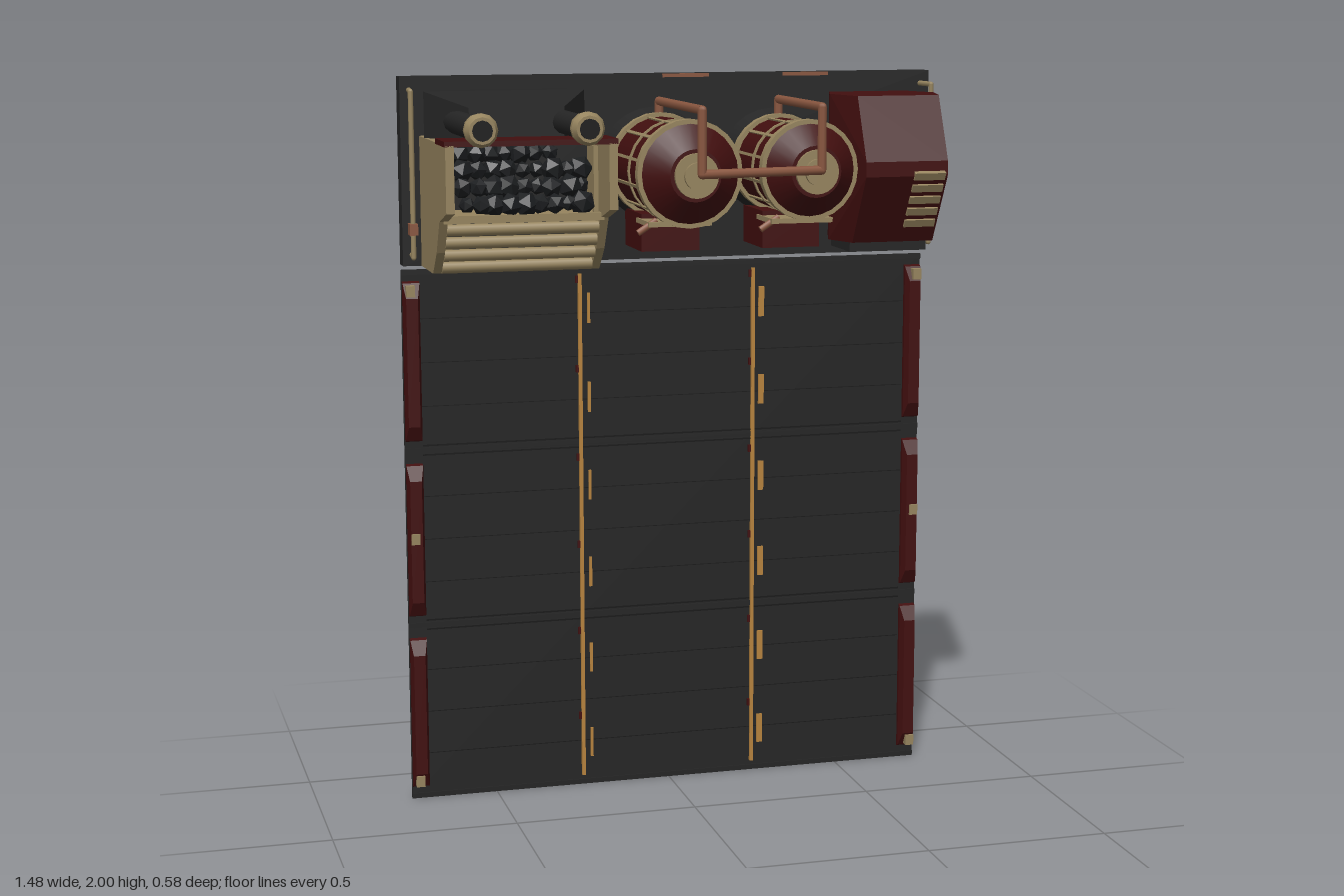
import * as THREE from 'three';
import { ConvexGeometry } from 'three/addons/geometries/ConvexGeometry.js';

const mat = (name, color) => {
  const m = new THREE.MeshStandardMaterial({ color });
  m.name = name;
  return m;
};
const V = (x, y, z) => new THREE.Vector3(x, y, z);

export function createModel() {
  const dark = mat('charcoal metal', 0x252525);
  const seam = mat('dark seam', 0x181818);
  const red = mat('oxblood paint', 0x420f0f);
  const cream = mat('dull brass', 0x97855f);
  const gold = mat('gold trim', 0xb8843e);
  const copper = mat('copper pipe', 0x8a5740);
  const coalMat = mat('coal', 0x1b1d1f);

  const root = new THREE.Group();
  root.name = 'rollerDoorWithBoilers';
  const section = (name) => {
    const g = new THREE.Group();
    g.name = name;
    root.add(g);
    return g;
  };
  const add = (g, name, geo, m) => {
    const mesh = new THREE.Mesh(geo, m);
    mesh.name = name;
    g.add(mesh);
    return mesh;
  };
  // box given by its limits
  const box = (g, name, m, x0, x1, y0, y1, z0, z1) => {
    const b = add(g, name, new THREE.BoxGeometry(x1 - x0, y1 - y0, z1 - z0), m);
    b.position.set((x0 + x1) / 2, (y0 + y1) / 2, (z0 + z1) / 2);
    return b;
  };
  // cylinder along z, from z0 (radius r0) to z1 (radius r1)
  const drum = (g, name, m, x, y, z0, z1, r0, r1 = r0, sides = 24) => {
    const c = add(g, name, new THREE.CylinderGeometry(r1, r0, z1 - z0, sides), m);
    c.rotation.x = Math.PI / 2;
    c.position.set(x, y, (z0 + z1) / 2);
    return c;
  };
  // pipe with sharp elbows
  const pipe = (g, name, m, pts, r) => {
    const path = new THREE.CurvePath();
    for (let i = 1; i < pts.length; i++) path.add(new THREE.LineCurve3(pts[i - 1], pts[i]));
    path.curves.forEach((c) => add(g, name, new THREE.TubeGeometry(c, 1, r, 8), m));
    pts.forEach((p) => add(g, name + 'Joint', new THREE.SphereGeometry(r, 8, 6), m).position.copy(p));
  };

  // Header board
  const header = section('header');
  box(header, 'headerBoard', dark, -0.74, 0.74, 1.5, 2, -0.29, -0.24);
  for (const x of [0.04, 0.38]) box(header, 'topTab', copper, x - 0.065, x + 0.065, 1.99, 2, -0.242, -0.238);

  // Door: three rows of panels
  const door = section('door');
  box(door, 'doorSheet', dark, -0.74, 0.74, 0.005, 1.485, -0.29, -0.283);
  for (const y of [0.01, 0.5, 0.99, 1.478]) {
    box(door, 'rowRail', dark, -0.74, 0.74, y - 0.007, y + 0.007, -0.285, -0.279);
    for (const s of [-1, 1]) if (y > 0.1 && y < 1.4)
      box(door, 'rowSeam', seam, -0.69, 0.69, y + s * 0.013 - 0.002, y + s * 0.013 + 0.002, -0.285, -0.281);
  }
  for (let row = 0; row < 3; row++) for (const k of [0.13, 0.25, 0.37])
    box(door, 'panelLine', seam, -0.69, 0.69, row * 0.49 + k, row * 0.49 + k + 0.002, -0.284, -0.2825);
  for (const x of [-0.25, 0.245]) {
    box(door, 'trimStrip', gold, x - 0.005, x + 0.005, 0.03, 1.46, -0.284, -0.274);
    const w = x < 0 ? 0.004 : 0.008;
    for (let i = 0; i < 6; i++) {
      const y = 0.125 + i * 0.248;
      box(door, 'hingeTab', gold, x + 0.025 - w, x + 0.025 + w, y - 0.042, y + 0.042, -0.284, -0.278);
      box(door, 'redTab', red, x - 0.012, x - 0.005, y + 0.07, y + 0.09, -0.284, -0.276);
    }
  }
  // Bevelled red guards down both edges
  const rows = [[0.035, 0.465, 0.06], [0.525, 0.955, 0.75], [1.015, 1.455, 1.43]];
  for (const s of [-1, 1]) for (const [y0, y1, bolt] of rows) {
    const pts = [];
    for (const x of [0.692, 0.738]) {
      pts.push(V(s * x, y0, -0.285), V(s * x, y1, -0.285), V(s * x, y0 + 0.005, -0.272), V(s * x, y1 - 0.005, -0.272));
      const inset = x < 0.7 ? x + 0.008 : x - 0.006;
      pts.push(V(s * inset, y0 + 0.045, -0.252), V(s * inset, y1 - 0.045, -0.252));
    }
    add(door, 'edgeGuard', new ConvexGeometry(pts), red);
    box(door, 'guardBolt', cream, s * 0.72 - 0.012, s * 0.72 + 0.012, bolt - 0.015, bolt + 0.015, -0.275, -0.247);
  }

  // Coal furnace
  const furnace = section('furnace');
  const profile = new THREE.Shape([
    [-0.24, 1.5], [-0.06, 1.5], [0, 1.56], [0.05, 1.645], [0.155, 1.675], [0.155, 1.845], [0.03, 1.845], [-0.24, 1.845],
  ].map(([z, y]) => new THREE.Vector2(-z, y)));
  for (const x of [-0.69, -0.268]) {
    const plate = add(furnace, 'sidePlate', new THREE.ExtrudeGeometry(profile, { depth: 0.022, bevelEnabled: false }), cream);
    plate.rotation.y = Math.PI / 2;
    plate.position.x = x;
  }
  box(furnace, 'fireboxBack', dark, -0.668, -0.268, 1.5, 1.845, -0.24, -0.1);
  box(furnace, 'grateSill', cream, -0.68, -0.26, 1.64, 1.66, -0.1, 0.06);
  [[1.515, -0.06], [1.55, -0.025], [1.585, 0.0], [1.62, 0.022]].forEach(([y, z]) => {
    const bar = add(furnace, 'grateBar', new THREE.CylinderGeometry(0.016, 0.016, 0.4, 10), cream);
    bar.rotation.z = Math.PI / 2;
    bar.position.set(-0.468, y, z);
  });
  for (const x of [-0.657, -0.279])
    box(furnace, 'mouthPost', cream, x - 0.006, x + 0.006, 1.66, 1.83, 0.03, 0.05);
  box(furnace, 'furnaceLid', red, -0.692, -0.244, 1.842, 1.856, 0.02, 0.155);

  // Heap of coal
  let seed = 7;
  const rand = () => (seed = (seed * 16807) % 2147483647) / 2147483647;
  for (let i = 0; i < 34; i++) {
    const lump = add(furnace, 'coalLump', new THREE.IcosahedronGeometry(0.022 + rand() * 0.014, 0), coalMat);
    const level = Math.floor(i / 9);
    lump.position.set(-0.625 + (i % 9) * 0.039 + rand() * 0.01, 1.685 + level * 0.042, 0.03 - level * 0.025 + rand() * 0.02);
    lump.rotation.set(rand() * 3, rand() * 3, rand() * 3);
  }

  // Faceted hood and twin exhausts
  const hoodPlan = [[-0.65, -0.24], [-0.3, -0.24], [-0.26, -0.16], [-0.35, 0], [-0.6, 0], [-0.69, -0.16]];
  const hoodPts = [];
  hoodPlan.forEach(([x, z]) => {
    hoodPts.push(V(x, 1.845, z), V(x, z > -0.1 ? 1.93 : 1.965, z));
  });
  add(furnace, 'hood', new ConvexGeometry(hoodPts), dark);
  for (const x of [-0.62, -0.35]) {
    drum(furnace, 'exhaustPipe', dark, x, 1.89, -0.12, 0.27, 0.031, 0.031, 12);
    drum(furnace, 'exhaustCollar', cream, x, 1.89, 0.245, 0.26, 0.041, 0.041, 12);
    drum(furnace, 'exhaustNeck', cream, x, 1.89, 0.26, 0.272, 0.034, 0.034, 12);
    drum(furnace, 'exhaustLip', cream, x, 1.89, 0.272, 0.29, 0.043, 0.034, 12);
    drum(furnace, 'exhaustMouth', seam, x, 1.89, 0.289, 0.291, 0.026, 0.026, 12);
  }

  // Two pressure tanks
  const tanks = [
    { x: -0.05, zf: 0.135, mid: 0.01, r: 0.13 },
    { x: 0.285, zf: 0.1, mid: -0.01, r: 0.122 },
  ];
  for (const { x, zf, mid, r } of tanks) {
    const g = section('pressureTank');
    const y = 1.76;
    drum(g, 'wallFlange', dark, x, y, -0.24, -0.18, r + 0.022, r);
    drum(g, 'tankBody', red, x, y, -0.18, zf, r);
    for (const z of [-0.185, zf - 0.025]) drum(g, 'tankBand', cream, x, y, z, z + 0.026, r + 0.011);
    drum(g, 'middleBand', cream, x, y, mid - 0.005, mid + 0.005, r + 0.005);
    for (let i = 0; i < 12; i++) {
      const a = (i + 0.5) * Math.PI / 6;
      const rib = add(g, 'tankRib', new THREE.BoxGeometry(0.008, 0.008, zf + 0.17), cream);
      rib.position.set(x + Math.cos(a) * r, y + Math.sin(a) * r, (zf - 0.17) / 2);
      rib.rotation.z = a;
    }
    drum(g, 'tankNose', red, x, y, zf, zf + 0.057, r, 0.068);
    drum(g, 'noseCap', cream, x, y, zf + 0.05, zf + 0.068, 0.058);
    drum(g, 'noseHub', cream, x, y, zf + 0.068, zf + 0.078, 0.035);
    // foot and clamp
    box(g, 'tankFoot', red, x - 0.08, x + 0.08, 1.54, 1.64, -0.24, -0.06);
    box(g, 'footClamp', cream, x - 0.085, x + 0.085, 1.615, 1.628, -0.1, 0.04);
    const strap = add(g, 'footPipe', new THREE.CylinderGeometry(0.009, 0.009, 0.06, 8), copper);
    strap.position.set(x - 0.085, 1.615, 0.02);
    strap.rotation.z = -1;
  }
  const py = 1.93;
  pipe(section('tankPiping'), 'tankPipe', copper, [
    V(-0.05, 1.86, -0.18), V(-0.05, py, -0.18), V(-0.05, py, 0.25), V(-0.05, 1.768, 0.25),
    V(0.285, 1.768, 0.2), V(0.285, py, 0.2), V(0.285, py, -0.18), V(0.285, 1.86, -0.18),
  ], 0.012);

  // Faceted engine housing
  const engine = section('engine');
  const ePts = [];
  for (const [y, z] of [[1.945, 0], [1.775, 0.078], [1.735, 0.078], [1.55, -0.03]])
    for (const x of [0.45, 0.68]) ePts.push(V(x, y, z));
  for (const y of [1.55, 1.945])
    for (const [x, z] of [[0.45, -0.24], [0.67, -0.24], [0.715, -0.13], [0.415, -0.13]]) ePts.push(V(x, y, z));
  add(engine, 'engineHousing', new ConvexGeometry(ePts), red);
  box(engine, 'engineBase', dark, 0.46, 0.68, 1.52, 1.555, -0.24, -0.08);
  // front louvres follow the lower slope
  for (let i = 0; i < 5; i++) {
    const y = 1.605 + i * 0.033;
    const z = -0.03 + (Math.min(y, 1.735) - 1.55) / 0.185 * 0.108;
    const bar = box(engine, 'frontLouvre', cream, 0.585, 0.672, y - 0.011, y + 0.011, z - 0.01, z + 0.006);
    bar.rotation.x = 0.5;
  }
  // side louvres on both slanted halves of the flank
  for (let i = 0; i < 6; i++) {
    const y = 1.66 + i * 0.03;
    const front = add(engine, 'sideLouvre', new THREE.BoxGeometry(0.014, 0.024, 0.09), cream);
    front.position.set(0.709, y, -0.09);
    front.rotation.y = -0.22;
    const rear = add(engine, 'sideLouvre', new THREE.BoxGeometry(0.014, 0.024, 0.1), cream);
    rear.position.set(0.698, y, -0.178);
    rear.rotation.y = 0.39;
  }

  // Slim grab rails at both ends
  const rails = section('endRails');
  for (const s of [-1, 1]) {
    pipe(rails, 'endRail', cream, [
      V(s * 0.715, 1.965, -0.24), V(s * 0.722, 1.965, -0.17), V(s * 0.722, 1.53, -0.17), V(s * 0.715, 1.53, -0.24),
    ], 0.007);
    box(rails, 'railClip', copper, s * 0.722 - 0.011, s * 0.722 + 0.011, 1.59, 1.62, -0.19, -0.155);
  }
  return root;
}
